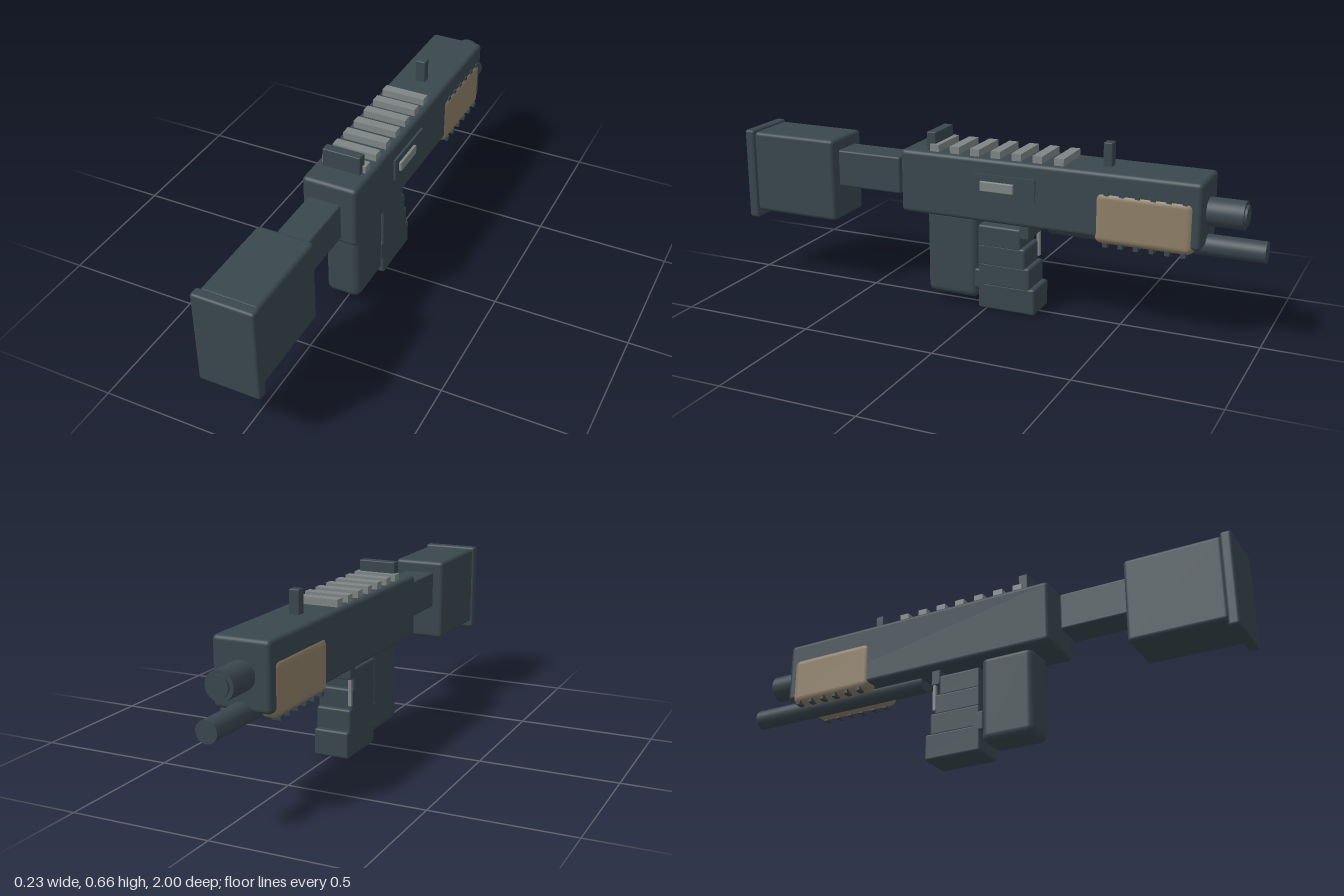
import * as THREE from 'three';
import { RoundedBoxGeometry } from 'three/addons/geometries/RoundedBoxGeometry.js';

const mat = (name, color) => {
  const m = new THREE.MeshStandardMaterial({ color });
  m.name = name;
  return m;
};

export function createModel() {
  const dark = mat('slate', 0x39474e);
  const tan = mat('tan', 0x8f7f68);
  const grey = mat('grey', 0x7e8685);
  const group = new THREE.Group();
  group.name = 'toyBlaster';
  const CX = -0.006; // centre line, since the side port sticks out on one side

  const add = (name, geo, m, x, y, z) => {
    const mesh = new THREE.Mesh(geo, m);
    mesh.name = name;
    mesh.position.set(CX + x, y, z);
    group.add(mesh);
    return mesh;
  };
  // box given by its limits, with optional rounded edges
  const box = (name, m, [x0, x1], [y0, y1], [z0, z1], r = 0) => {
    const s = [x1 - x0, y1 - y0, z1 - z0];
    const geo = r ? new RoundedBoxGeometry(...s, 4, r) : new THREE.BoxGeometry(...s);
    return add(name, geo, m, (x0 + x1) / 2, (y0 + y1) / 2, (z0 + z1) / 2);
  };
  const mid = (name, m, half, y, z, r) => box(name, m, [-half, half], y, z, r);
  const rod = (name, r, y, z0, z1) => {
    const geo = new THREE.CylinderGeometry(r, r, z1 - z0, 32).rotateX(Math.PI / 2);
    return add(name, geo, dark, 0, y, (z0 + z1) / 2);
  };

  // stock
  mid('buttPlate', dark, 0.111, [0.237, 0.587], [0.96, 1], 0.01);
  mid('stock', dark, 0.103, [0.265, 0.58], [0.612, 0.965], 0.015);
  mid('stockArm', dark, 0.061, [0.395, 0.535], [0.352, 0.62], 0.008);

  // receiver and barrels
  mid('receiver', dark, 0.103, [0.345, 0.58], [-0.797, 0.325], 0.016);
  rod('barrel', 0.05, 0.461, -0.922, -0.78);
  rod('barrelTip', 0.036, 0.461, -0.93, -0.9);
  rod('lowerTube', 0.0375, 0.342, -1, -0.23);

  // sights and top rail
  mid('rearSight', dark, 0.0715, [0.575, 0.648], [0.196, 0.232], 0.004);
  mid('frontSight', dark, 0.0195, [0.575, 0.664], [-0.455, -0.422], 0.004);
  for (let i = 0; i < 7; i++) {
    const z = 0.196 - i * 0.08;
    mid('railSlat', grey, 0.083, [0.575, 0.606], [z - 0.018, z + 0.018]);
  }

  // side port
  box('portFrame', dark, [0.1, 0.111], [0.441, 0.526], [-0.206, 0.032]);
  box('portCover', grey, [0.105, 0.121], [0.466, 0.502], [-0.127, 0.001], 0.003);

  // handguard panels with small ribs
  for (const s of [-1, 1]) {
    const panel = new RoundedBoxGeometry(0.07, 0.19, 0.354, 5, 0.028);
    add('handguard', panel, tan, s * 0.074, 0.42, -0.598);
    for (let i = 0; i < 6; i++) {
      const z = -0.466 - i * 0.055;
      add('lowerRib', new THREE.BoxGeometry(0.032, 0.016, 0.017), dark, s * 0.093, 0.326, z);
      if (s > 0) add('upperRib', new THREE.BoxGeometry(0.012, 0.014, 0.017), dark, 0.102, 0.508, z);
    }
  }

  // grip
  mid('grip', dark, 0.067, [0.03, 0.36], [0.035, 0.241], 0.028);

  // stepped block in front of the grip: [bottom, top, front]
  const steps = [[0, 0.1, -0.192], [0.09, 0.178, -0.172], [0.168, 0.25, -0.154], [0.24, 0.322, -0.136]];
  for (const [y0, y1, z] of steps) mid('frontBlock', dark, 0.0675, [y0, y1], [z, 0.032], 0.009);
  mid('frontBlockTab', dark, 0.0675, [0.075, 0.15], [0, 0.047], 0.008);
  mid('frontBlockCap', dark, 0.0675, [0.288, 0.35], [-0.168, -0.132], 0.004);
  box('releaseBar', grey, [-0.066, -0.053], [0.19, 0.29], [-0.162, -0.15]);

  return group;
}
